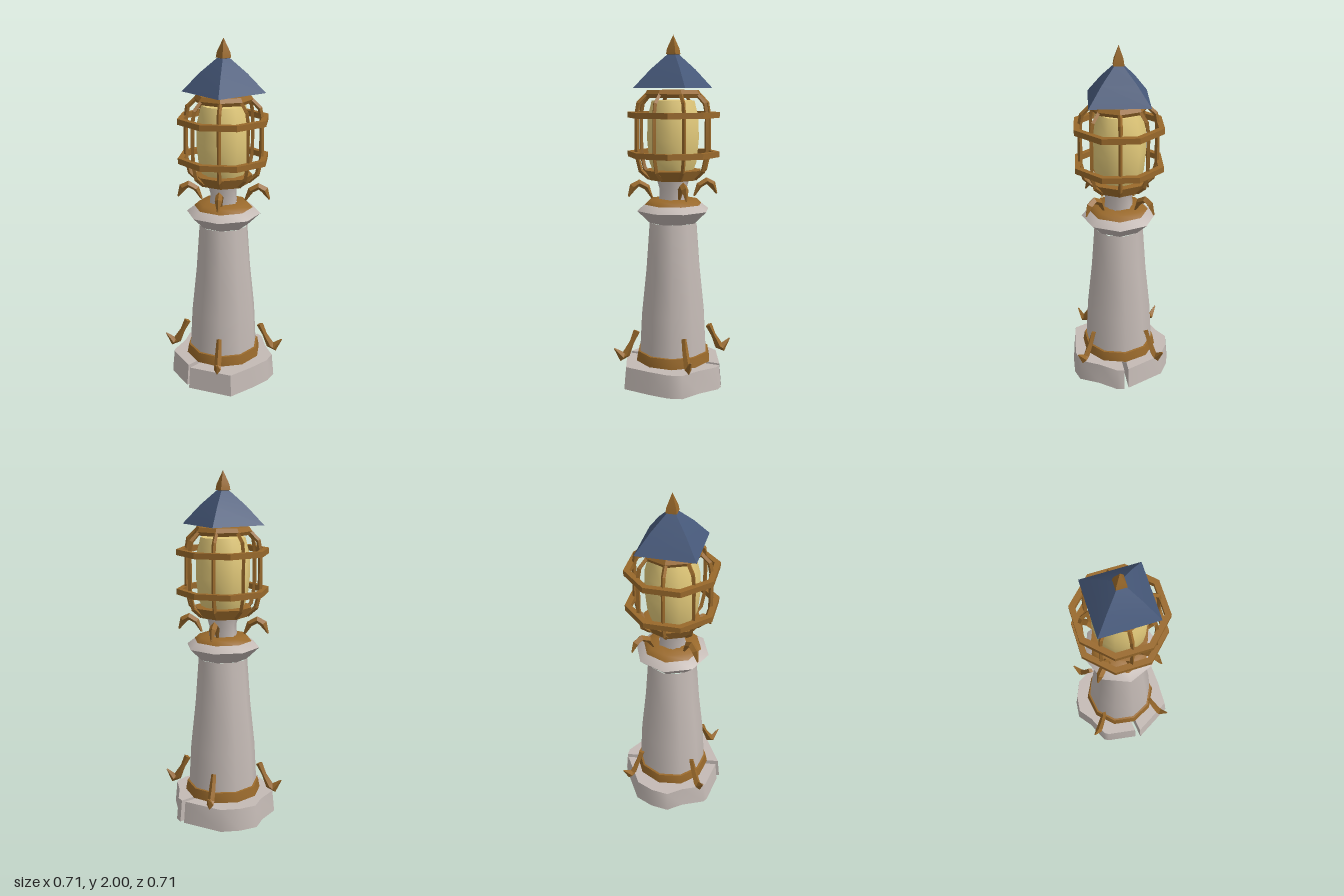
import * as THREE from 'three';
import { toCreasedNormals } from 'three/addons/utils/BufferGeometryUtils.js';

const mat = (name, color) => {
  const m = new THREE.MeshStandardMaterial({ color });
  m.name = name;
  return m;
};

export function createModel() {
  const root = new THREE.Group();
  const stone = mat('pale stone', 0xc4bab5);
  const bronze = mat('bronze', 0x99692b);
  const glass = mat('warm glass', 0xe3ca7a);
  const slate = mat('blue slate', 0x465879);

  const add = (name, geo, material, parent = root) => {
    const m = new THREE.Mesh(geo, material);
    m.name = name;
    parent.add(m);
    return m;
  };
  // Turned part from [radius, y] pairs, listed upwards on the outside
  const turned = (pts, sides, crease = 0.6, phase = 0) => toCreasedNormals(
    new THREE.LatheGeometry(pts.map(p => new THREE.Vector2(p[0], p[1])), sides, phase), crease);
  // Closed ring with a rectangular section
  const band = (rIn, rOut, y0, y1, sides, phase = 0) =>
    turned([[rOut, y0], [rOut, y1], [rIn, y1], [rIn, y0], [rOut, y0]], sides, 0.3, phase);

  // Tapered bar with a diamond section along [x, y, halfThickness, halfWidth] points
  const bar = (pts) => {
    const pos = [], idx = [];
    pts.forEach(([x, y, t, w], i) => {
      const a = pts[Math.max(i - 1, 0)], b = pts[Math.min(i + 1, pts.length - 1)];
      const l = Math.hypot(b[0] - a[0], b[1] - a[1]);
      const nx = -(b[1] - a[1]) / l * t, ny = (b[0] - a[0]) / l * t;
      pos.push(x + nx, y + ny, 0, x, y, w, x - nx, y - ny, 0, x, y, -w);
      if (i > 0) for (let k = 0; k < 4; k++) {
        const p = (i - 1) * 4 + k, q = (i - 1) * 4 + (k + 1) % 4;
        idx.push(p, q, q + 4, p, q + 4, p + 4);
      }
    });
    const e = (pts.length - 1) * 4;
    idx.push(0, 2, 1, 0, 3, 2, e, e + 1, e + 2, e, e + 2, e + 3);
    const g = new THREE.BufferGeometry();
    g.setAttribute('position', new THREE.Float32BufferAttribute(pos, 3));
    g.setIndex(idx);
    return toCreasedNormals(g, 0.4);
  };
  // Copies of one bar around the axis
  const around = (name, geo, count) => {
    const g = new THREE.Group();
    g.name = name + 's';
    for (let i = 0; i < count; i++) add(name, geo, bronze, g).rotation.y = i * 2 * Math.PI / count;
    root.add(g);
  };

  // Split plinth: two halves [x, z], with a diagonal gap between them
  const halves = {
    plinthBack: [[-0.19, 0.22], [-0.30, 0.07], [-0.308, 0.04], [-0.26, -0.09], [-0.247, -0.19],
      [-0.165, -0.255], [-0.06, -0.297], [0.175, -0.24]],
    plinthFront: [[0.2, -0.23], [0.23, -0.2], [0.26, -0.08], [0.31, 0.035], [0.28, 0.11],
      [0.195, 0.205], [0.08, 0.315], [-0.175, 0.25]],
  };
  for (const [name, pts] of Object.entries(halves)) {
    const shape = new THREE.Shape(pts.map(([x, z]) => new THREE.Vector2(x, -z)));
    const g = new THREE.ExtrudeGeometry(shape, { depth: 0.13, bevelEnabled: false });
    g.rotateX(-Math.PI / 2);
    const p = g.attributes.position;
    for (let i = 0; i < p.count; i++) {
      if (p.getY(i) > 0.1) p.setXYZ(i, p.getX(i) * 0.96, p.getY(i), p.getZ(i) * 0.96);
    }
    add(name, toCreasedNormals(g, 0.9), stone);
  }

  // Tower shaft with flared head, and the neck below the lantern
  add('tower', turned([[0, 0.12], [0.205, 0.12], [0.2, 0.2], [0.188, 0.42], [0.16, 0.68],
    [0.14, 0.95]], 10, 0.9), stone);
  add('towerHead', turned([[0.14, 0.95], [0.212, 1.02], [0.14, 1.077], [0, 1.08]], 8, 0.9), stone);
  add('neck', turned([[0.085, 1.07], [0.08, 1.14], [0.1, 1.21]], 6, 1.2), stone);

  // Metal trim at the foot and on the head
  add('footBand', turned([[0.19, 0.132], [0.222, 0.136], [0.212, 0.192], [0.19, 0.195]], 10, 0.7), bronze);
  add('headTrim', turned([[0.168, 1.055], [0.142, 1.081], [0.08, 1.085]], 8, 0.9), bronze);

  // Lantern glass between two collars
  add('lanternGlass', turned([[0, 1.235], [0.115, 1.235], [0.14, 1.3], [0.152, 1.42], [0.15, 1.54],
    [0.125, 1.64], [0, 1.645]], 10, 0.9), glass);
  add('lowerCollar', turned([[0, 1.195], [0.14, 1.195], [0.165, 1.25], [0.12, 1.255], [0, 1.24]], 8, 0.6), bronze);
  add('upperCollar', turned([[0, 1.655], [0.155, 1.655], [0.165, 1.675], [0.15, 1.698], [0, 1.7]], 8, 0.6), bronze);

  // Cage of eight uprights and two hoops
  around('cageUpright', bar([[0.14, 1.205, 0.012, 0.012], [0.19, 1.25, 0.014, 0.012],
    [0.212, 1.34, 0.013, 0.011], [0.212, 1.56, 0.013, 0.011], [0.2, 1.625, 0.014, 0.012],
    [0.14, 1.685, 0.012, 0.012]]), 8);
  for (const y of [1.34, 1.56]) add('cageHoop', band(0.228, 0.262, y - 0.016, y + 0.016, 8, Math.PI / 8), bronze);

  // Claws around the foot and hooks below the lantern
  around('footClaw', bar([[0.22, 0.315, 0.02, 0.014], [0.25, 0.25, 0.014, 0.018], [0.285, 0.18, 0.024, 0.02],
    [0.305, 0.165, 0.028, 0.02], [0.353, 0.22, 0.004, 0.004]]), 4);
  around('neckHook', bar([[0.125, 1.095, 0.006, 0.008], [0.155, 1.155, 0.018, 0.018],
    [0.2, 1.18, 0.02, 0.02], [0.235, 1.16, 0.022, 0.02], [0.262, 1.105, 0.005, 0.005]]), 4);

  // Four-sided roof with its corners on the axes, and the finial
  add('roof', turned([[0, 1.708], [0.232, 1.708], [0.13, 1.812], [0.035, 1.892], [0, 1.895]], 4, 0.5), slate);
  add('finial', turned([[0, 1.885], [0.042, 1.895], [0.036, 1.925], [0, 2]], 4, 0.5), bronze);

  return root;
}
